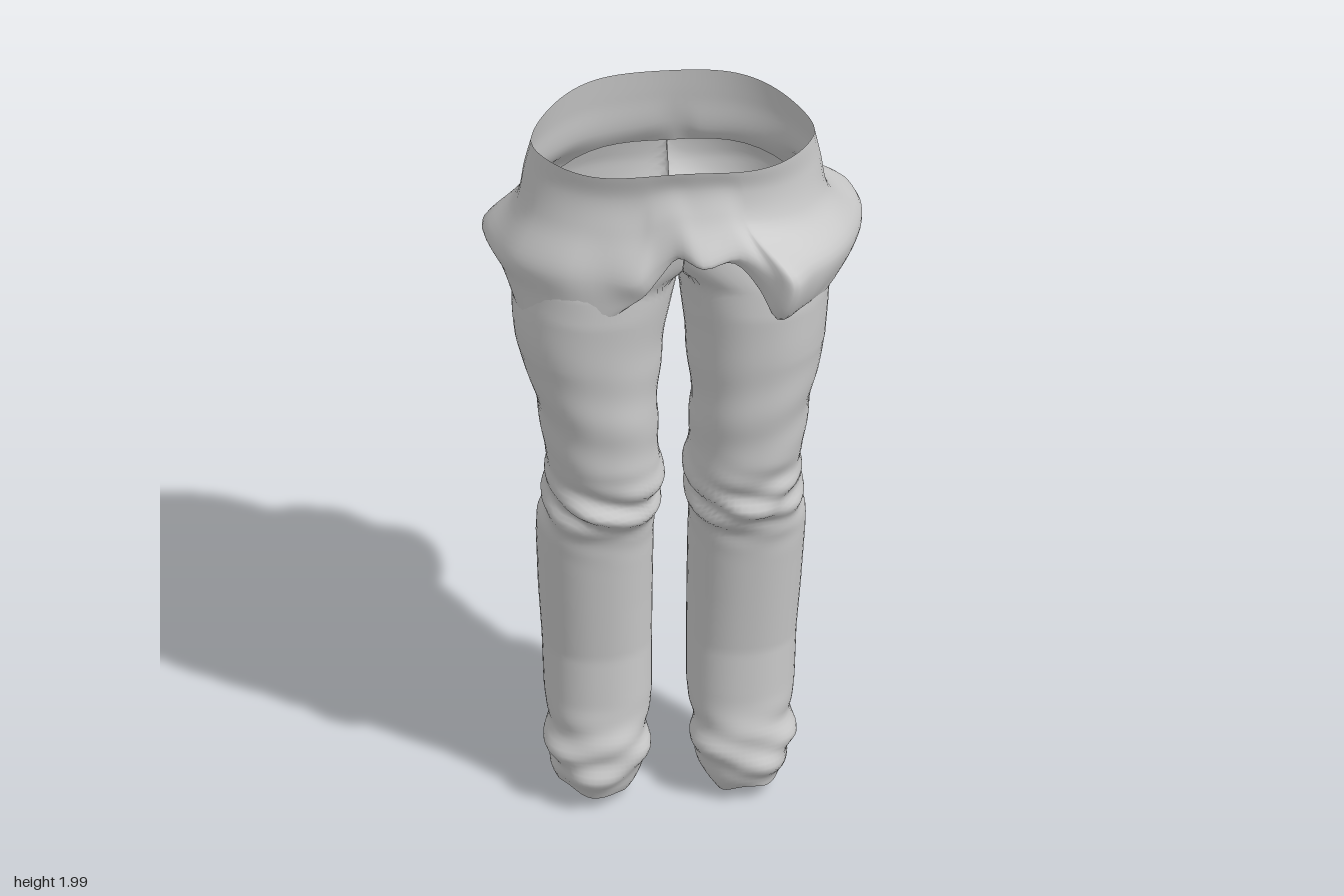
import * as THREE from 'three';

const { smoothstep, clamp } = THREE.MathUtils;
const cloth = new THREE.MeshStandardMaterial({ color: 0xcccccc, side: THREE.DoubleSide });

// Closed-loop loft: at(v, u) gives a point, v runs along the tube and u around it
function loft(name, rows, cols, at) {
  const pos = [], index = [];
  for (let i = 0; i <= rows; i++)
    for (let j = 0; j < cols; j++) pos.push(...at(i / rows, j / cols));
  for (let i = 0; i < rows; i++)
    for (let j = 0; j < cols; j++) {
      const a = i * cols + j, b = i * cols + (j + 1) % cols;
      index.push(a, a + cols, b, b, a + cols, b + cols);
    }
  const geo = new THREE.BufferGeometry();
  geo.setAttribute('position', new THREE.Float32BufferAttribute(pos, 3));
  geo.setIndex(index);
  geo.computeVertexNormals();
  const mesh = new THREE.Mesh(geo, cloth);
  mesh.name = name;
  return mesh;
}

const bump = (y, centre, width) => Math.exp(-(((y - centre) / width) ** 2));
// signed power, squares off an oval
const power = (n, p) => Math.sign(n) * Math.abs(n) ** p;

// Leg sections: y, inner x, outer x, back z, front z
const sections = [
  [0.04, 0.095, 0.262, -0.21, 0.015], [0.10, 0.055, 0.28, -0.222, 0.045],
  [0.17, 0.045, 0.29, -0.205, 0.05], [0.23, 0.045, 0.285, -0.205, 0.035],
  [0.30, 0.035, 0.295, -0.215, 0.03], [0.45, 0.035, 0.30, -0.22, 0.035],
  [0.60, 0.035, 0.31, -0.22, 0.06], [0.78, 0.035, 0.318, -0.195, 0.09],
  [0.85, 0.035, 0.315, -0.175, 0.105], [0.90, 0.025, 0.30, -0.168, 0.14],
  [0.95, 0.025, 0.305, -0.165, 0.16], [1.02, 0.02, 0.30, -0.14, 0.165],
  [1.08, 0.03, 0.305, -0.14, 0.18], [1.20, 0.035, 0.32, -0.146, 0.198],
  [1.40, 0.02, 0.36, -0.18, 0.222], [1.55, 0.005, 0.37, -0.215, 0.238],
  [1.63, -0.01, 0.372, -0.235, 0.238], [1.72, -0.15, 0.36, -0.235, 0.235],
  [1.80, -0.32, 0.345, -0.222, 0.235],
];

// Linear lookup of a section at height y
function sectionAt(y) {
  let k = 1;
  while (k < sections.length - 1 && sections[k][0] < y) k++;
  const a = sections[k - 1], b = sections[k];
  const t = clamp((y - a[0]) / (b[0] - a[0]), 0, 1);
  return a.map((n, i) => n + (b[i] - n) * t);
}

function leg(name, side) {
  return loft(name, 130, 56, (v, u) => {
    const a = u * Math.PI * 2, c = Math.cos(a), s = Math.sin(a);
    // upper edge is highest at front and back, under the arches of the overhang
    const top = 1.69 + 0.09 * smoothstep(Math.abs(s), 0.5, 1);
    let y = 0.04 + v * (top - 0.04);
    const [, inner, outer, back, front] = sectionAt(y);
    // slanting wrinkles at knee and ankle, faint ripples on the thigh
    const knee = Math.sin(y * 74 + s * 1.2 + c * 3.4 * side) + 0.7 * Math.sin(y * 47 - c * 4.5 + s * 2);
    const ankle = Math.sin(y * 66 + c * 3 - s * side) + 0.7 * Math.sin(y * 40 + a * 3);
    const fold = (0.006 + 0.003 * s) * bump(y, 0.94, 0.09) * knee
      + 0.007 * bump(y, 0.14, 0.09) * ankle
      + 0.003 * bump(y, 1.2, 0.2) * Math.sin(y * 34 + a * 2);
    let x = (inner + outer) / 2 + ((outer - inner) / 2 + fold) * power(c, 0.92);
    const z = (back + front) / 2 + ((front - back) / 2 + fold) * power(s, 0.92);
    // uneven cuff, lowest on the inner back
    y += bump(y, 0.03, 0.07) * (0.014 * c - 0.008 + 0.014 * s + 0.008 * Math.sin(a * 4 + side));
    // both halves meet on the middle seam, which forms a saddle at the crotch
    if (y > 1.55 && x < 0) {
      x = 0;
      y = Math.min(y, 1.64 + 0.26 * Math.min(1, Math.abs(z) / 0.23) ** 3);
    }
    // right leg stands a little further out and is fuller at the thigh
    const shift = side < 0
      ? 0.014 * smoothstep(1.6 - y, 0, 0.2) + 0.022 * bump(y, 1.5, 0.17) * (0.5 + 0.5 * c) : 0;
    return [side * (x + shift), y, z];
  });
}

// Widest line of the overhang: x, z, y, then how far the hem drops and pulls in below it
const flare = [
  [0.455, -0.05, 1.65, 0.06, 0.94], [0.42, 0.08, 1.67, 0.09, 0.93], [0.37, 0.17, 1.68, 0.11, 0.91],
  [0.31, 0.25, 1.70, 0.13, 0.89], [0.255, 0.33, 1.715, 0.13, 0.86], [0.2, 0.29, 1.72, 0.06, 0.88],
  [0.13, 0.27, 1.76, 0.03, 0.92], [0.04, 0.295, 1.75, 0.01, 0.86], [-0.02, 0.26, 1.77, 0.02, 0.94],
  [-0.07, 0.258, 1.74, 0.05, 0.94], [-0.12, 0.275, 1.70, 0.06, 0.9], [-0.2, 0.245, 1.70, 0.09, 0.98],
  [-0.3, 0.21, 1.70, 0.09, 0.98], [-0.4, 0.12, 1.68, 0.08, 0.96], [-0.44, 0.03, 1.66, 0.06, 0.95],
  [-0.457, -0.1, 1.66, 0.04, 0.93], [-0.4, -0.15, 1.66, 0.03, 0.92], [-0.35, -0.21, 1.66, 0.02, 0.93],
  [-0.3, -0.275, 1.66, 0.02, 0.92], [-0.2, -0.3, 1.66, 0.02, 0.92], [-0.05, -0.325, 1.67, 0.02, 0.9],
  [0.02, -0.285, 1.69, 0.02, 0.95], [0.06, -0.295, 1.68, 0.02, 0.95], [0.13, -0.33, 1.65, 0.01, 0.92],
  [0.25, -0.308, 1.65, 0.01, 0.92], [0.33, -0.24, 1.65, 0.02, 0.93], [0.42, -0.2, 1.66, 0.04, 0.94],
  [0.453, -0.14, 1.65, 0.05, 0.94],
];

function overhang() {
  const ring = (f) => new THREE.CatmullRomCurve3(flare.map(f), true);
  const wide = ring(([x, z, y]) => new THREE.Vector3(x, y, z));
  const hem = ring(([x, z, y, drop, pull]) => new THREE.Vector3(x * pull, y - drop, z * pull));
  const cols = 112, lines = [];
  for (let j = 0; j < cols; j++) {
    const w = wide.getPoint(j / cols), h = hem.getPoint(j / cols);
    const a = Math.atan2(w.z / 0.28, w.x / 0.44), c = Math.cos(a), s = Math.sin(a);
    // wavy waist edge
    const top = 1.973 - 0.018 * Math.cos(2 * a) + 0.007 * Math.sin(5 * a);
    const at = (rx, rz, t, cz) => new THREE.Vector3(-0.008 + rx * c, top + (w.y - top) * t, cz + rz * s);
    // underside returns to the legs, running smoothly down into the right thigh
    const front = smoothstep(s, -0.6, 0);
    const right = smoothstep(-c, 0.1, 0.5) * front, left = smoothstep(c, 0.5, 0.9) * front;
    const join = new THREE.Vector3(
      0.366 * power(c, 0.7) - 0.022 * right, h.y + 0.02 - 0.12 * right - 0.05 * left, 0.236 * power(s, 0.7));
    lines.push(new THREE.CatmullRomCurve3([
      at(0.342, 0.234, 0, 0.015), at(0.358, 0.23, 0.27, 0), at(0.377, 0.248, 0.6, 0), w, h, join,
    ]));
  }
  return loft('overhangingHem', 35, cols, (v, u) => lines[Math.round(u * cols)].getPoint(v).toArray());
}

export function createModel() {
  const model = new THREE.Group();
  model.name = 'trousers';
  model.add(leg('leftLeg', 1), leg('rightLeg', -1), overhang());
  return model;
}
